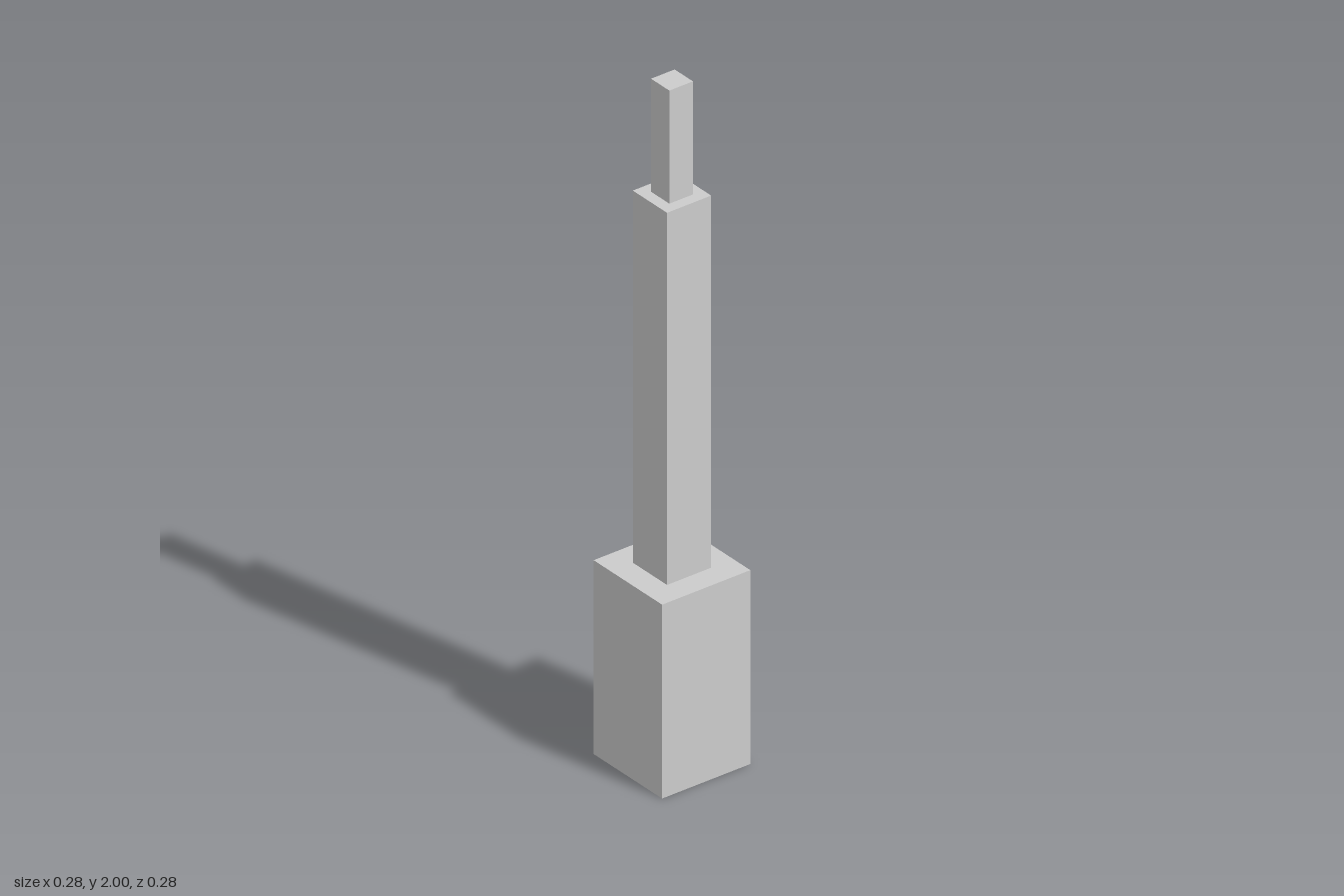
import * as THREE from 'three';

export function createModel() {
  const model = new THREE.Group();
  const material = new THREE.MeshStandardMaterial({ color: 0xcccccc, flatShading: true });

  // Square block standing between two heights
  const addBlock = (name, width, bottom, top) => {
    const block = new THREE.Mesh(new THREE.BoxGeometry(width, top - bottom, width), material);
    block.name = name;
    block.position.y = (bottom + top) / 2;
    model.add(block);
  };

  // Three stacked tiers, each narrower than the one below
  addBlock('base', 0.284, 0, 0.571);
  addBlock('shaft', 0.142, 0.571, 1.667);
  addBlock('tip', 0.076, 1.667, 2);

  return model;
}
